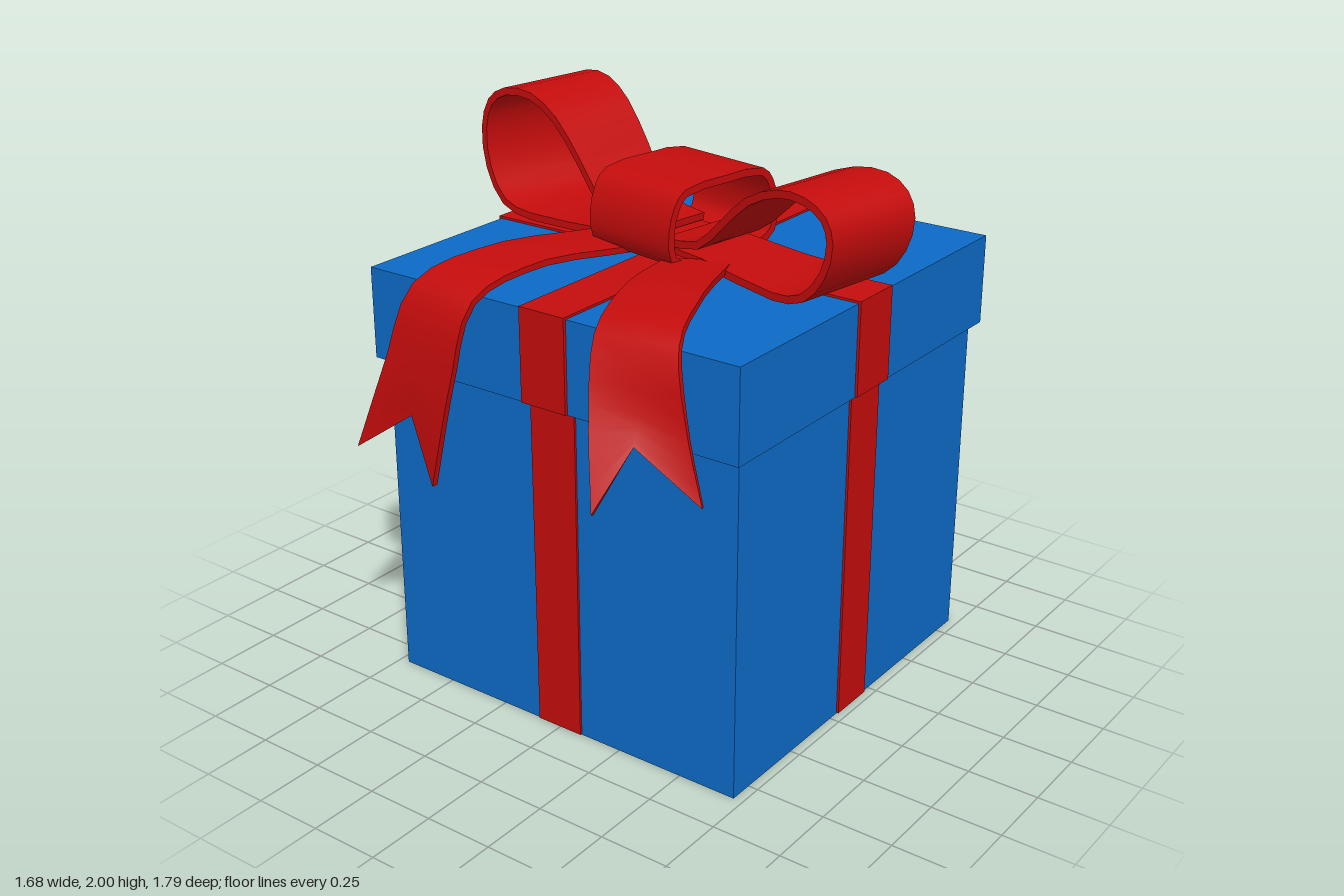
import * as THREE from 'three';
import { toCreasedNormals } from 'three/addons/utils/BufferGeometryUtils.js';

const blue = new THREE.MeshStandardMaterial({ color: 0x0c6ac6 });
blue.name = 'blue paper';
const red = new THREE.MeshStandardMaterial({ color: 0xc40c0c });
red.name = 'red ribbon';

const CENTER_Z = -0.128;

function box(name, w, d, y0, y1, material) {
  const mesh = new THREE.Mesh(new THREE.BoxGeometry(w, y1 - y0, d), material);
  mesh.name = name;
  mesh.position.set(0, (y0 + y1) / 2, CENTER_Z);
  return mesh;
}

// Thick cloth strip spanned between rails (lists of [x, y, z] points along the strip)
function ribbon(name, rails, steps, thickness = 0.026) {
  const lines = rails.map((rail) =>
    new THREE.CatmullRomCurve3(rail.map((p) => new THREE.Vector3(...p)), false, 'centripetal'));
  const at = (j, i) => lines[j].getPoint(i / steps);
  const last = lines.length - 1;
  const top = [], bottom = [];
  for (let i = 0; i <= steps; i++) {
    top.push([]);
    bottom.push([]);
    for (let j = 0; j <= last; j++) {
      const along = at(j, Math.min(i + 1, steps)).sub(at(j, Math.max(i - 1, 0)));
      const across = at(Math.min(j + 1, last), i).sub(at(Math.max(j - 1, 0), i));
      const n = along.cross(across).normalize().multiplyScalar(thickness / 2);
      top[i].push(at(j, i).add(n));
      bottom[i].push(at(j, i).sub(n));
    }
  }
  const pos = [];
  const quad = (a, b, c, d) => [a, b, c, a, c, d].forEach((p) => pos.push(p.x, p.y, p.z));
  for (let i = 0; i < steps; i++) {
    const k = i + 1;
    for (let j = 0; j < last; j++) {
      quad(top[i][j], top[k][j], top[k][j + 1], top[i][j + 1]);
      quad(bottom[i][j], bottom[i][j + 1], bottom[k][j + 1], bottom[k][j]);
    }
    quad(top[i][0], bottom[i][0], bottom[k][0], top[k][0]);
    quad(top[i][last], top[k][last], bottom[k][last], bottom[i][last]);
  }
  for (let j = 0; j < last; j++) {
    quad(top[0][j], top[0][j + 1], bottom[0][j + 1], bottom[0][j]);
    quad(top[steps][j], bottom[steps][j], bottom[steps][j + 1], top[steps][j + 1]);
  }
  const geo = new THREE.BufferGeometry();
  geo.setAttribute('position', new THREE.Float32BufferAttribute(pos, 3));
  const mesh = new THREE.Mesh(toCreasedNormals(geo, 0.8), red);
  mesh.name = name;
  return mesh;
}

// Bow loop: side profile in x/y, flaring wider away from the knot
function loop(name, profile) {
  const rails = [-1, 1].map((s) => profile.map(([x, y]) => {
    const half = 0.145 + 0.05 * Math.min(1, Math.max(0, (Math.abs(x) - 0.2) / 0.5));
    return [x, y, s * half];
  }));
  return ribbon(name, rails, 24);
}

// Hanging tail with a swallow-cut end; the middle rail stops at the notch
function tail(name, a, b, notch) {
  const mid = a.map((p, i) => p.map((v, k) => (v + b[i][k]) / 2 + (k === 1 ? 0.006 : 0)));
  mid[mid.length - 1] = notch;
  return ribbon(name, [a, mid, b], 14, 0.022);
}

export function createModel() {
  const model = new THREE.Group();
  model.name = 'giftBox';

  // Box, lid and the flat ribbons wrapped around them
  model.add(
    box('boxBody', 1.43, 1.43, 0, 1.21, blue),
    box('lid', 1.48, 1.51, 1.197, 1.518, blue),
    box('bodyRibbonFrontBack', 0.18, 1.446, 0.003, 1.2, red),
    box('bodyRibbonSides', 1.446, 0.175, 0.003, 1.2, red),
    box('lidRibbonFrontBack', 0.18, 1.533, 1.2, 1.526, red),
    box('lidRibbonSides', 1.498, 0.195, 1.2, 1.526, red),
  );

  // Bow, turned slightly on the lid
  const bow = new THREE.Group();
  bow.name = 'bow';
  bow.position.z = -0.12;
  bow.rotation.y = -0.16;
  bow.add(loop('rightLoop', [
    [0, 1.57], [-0.22, 1.565], [-0.58, 1.55], [-0.71, 1.58], [-0.79, 1.69], [-0.808, 1.83],
    [-0.77, 1.93], [-0.69, 1.98], [-0.57, 1.982], [-0.46, 1.92], [-0.35, 1.79], [-0.22, 1.63], [-0.05, 1.6],
  ]));
  bow.add(loop('leftLoop', [
    [0, 1.575], [0.22, 1.57], [0.57, 1.55], [0.7, 1.58], [0.78, 1.67], [0.808, 1.78],
    [0.78, 1.85], [0.7, 1.89], [0.58, 1.885], [0.44, 1.825], [0.32, 1.72], [0.2, 1.62], [0.05, 1.6],
  ]));

  // Knot band wrapped around the middle of the bow
  const wrap = [
    [0, 1.55], [0.17, 1.555], [0.235, 1.59], [0.245, 1.68], [0.22, 1.76], [0.18, 1.8], [0, 1.81],
    [-0.18, 1.8], [-0.22, 1.76], [-0.245, 1.68], [-0.235, 1.59], [-0.17, 1.555], [0, 1.55],
  ];
  bow.add(ribbon('knot', [-0.187, 0.187].map((x) => wrap.map(([z, y]) => [x, y, z])), 24));
  model.add(bow);

  // Tails draped over the front edge of the lid
  model.add(tail('rightTail',
    [[-0.28, 1.565, -0.02], [-0.42, 1.585, 0.4], [-0.5, 1.52, 0.67], [-0.58, 1.25, 0.74], [-0.69, 0.94, 0.78]],
    [[-0.08, 1.56, 0.06], [-0.18, 1.585, 0.45], [-0.23, 1.52, 0.69], [-0.29, 1.25, 0.74], [-0.39, 0.86, 0.74]],
    [-0.48, 1.09, 0.73]));
  model.add(tail('leftTail',
    [[0.08, 1.56, 0.1], [0.18, 1.585, 0.45], [0.25, 1.52, 0.68], [0.31, 1.3, 0.79], [0.39, 1.04, 0.885]],
    [[0.29, 1.565, 0.03], [0.45, 1.595, 0.42], [0.55, 1.54, 0.66], [0.6, 1.3, 0.69], [0.65, 1.06, 0.68]],
    [0.46, 1.24, 0.77]));

  return model;
}
